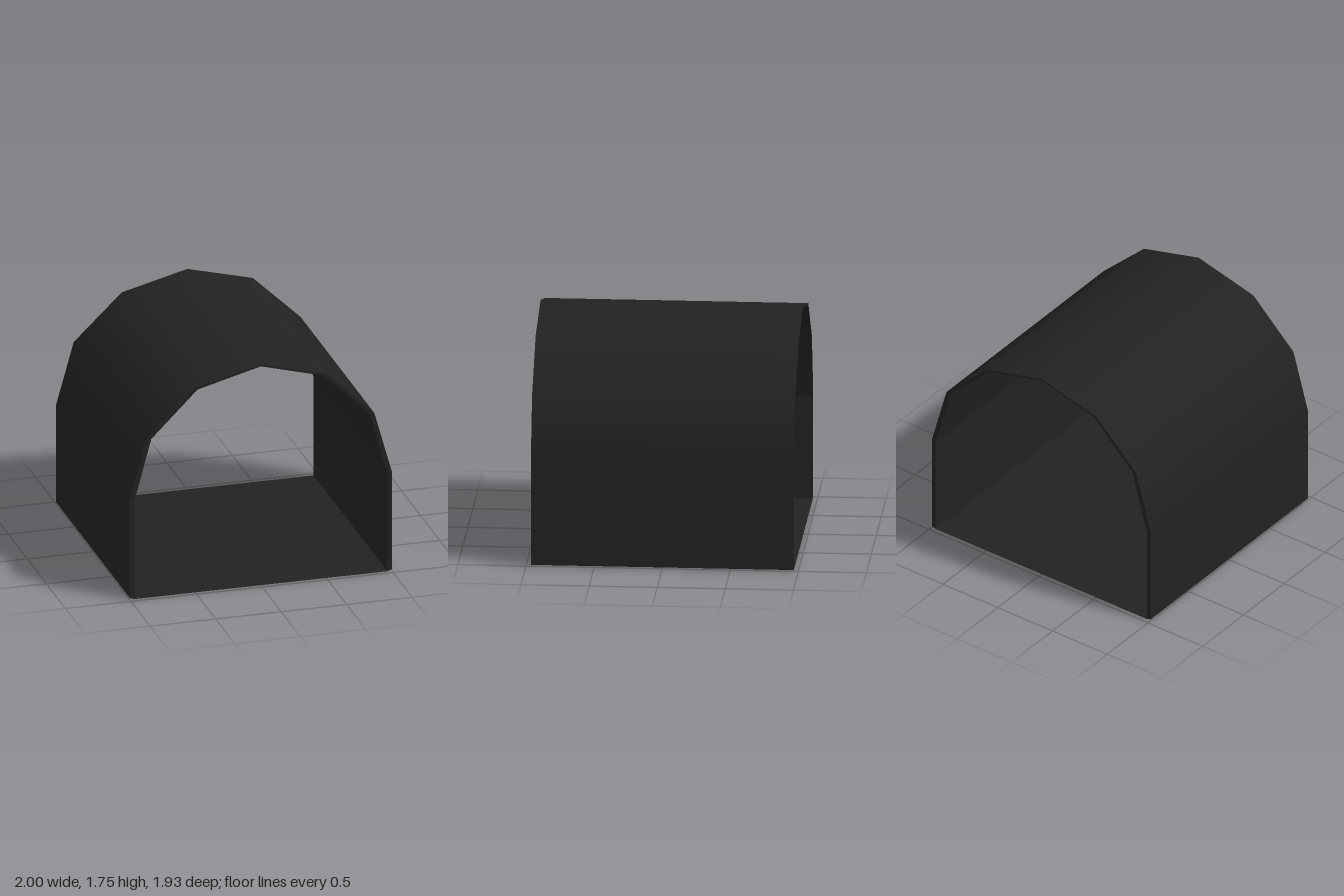
import * as THREE from 'three';

const HALF = 0.965;   // half the depth
const DROP = 0.013;   // how far the inner skin sits below the outer one
const IN = 0.965;     // half width of the inner skin
const RISE = 0.96;    // height of the arch above the shoulders
const SHOULDER = 0.785;

// Arch profile from right foot over the crown to left foot, with outward normals
function archProfile(width, dy) {
  const pts = [{ x: width, y: DROP + dy, nx: 1, ny: 0 }];
  for (let i = 0; i <= 6; i++) {
    const a = (i / 6) * Math.PI;
    const n = new THREE.Vector2(Math.cos(a), Math.sin(a) / RISE).normalize();
    pts.push({ x: width * Math.cos(a), y: SHOULDER + dy + RISE * Math.sin(a), nx: n.x, ny: n.y });
  }
  pts.push({ x: -width, y: DROP + dy, nx: -1, ny: 0 });
  return pts;
}

// Sheet swept along z; faces lie to the right of the direction of travel
function sheet(points, smooth) {
  const pos = [], nor = [], idx = [];
  for (const p of points) {
    for (const z of [HALF, -HALF]) {
      pos.push(p.x, p.y, z);
      nor.push(p.nx ?? 0, p.ny ?? 0, 0);
    }
  }
  for (let i = 0; i < points.length - 1; i++) {
    const a = i * 2;
    idx.push(a, a + 1, a + 2, a + 1, a + 3, a + 2);
  }
  let g = new THREE.BufferGeometry();
  g.setAttribute('position', new THREE.Float32BufferAttribute(pos, 3));
  g.setIndex(idx);
  if (smooth) {
    g.setAttribute('normal', new THREE.Float32BufferAttribute(nor, 3));
  } else {
    g = g.toNonIndexed();
    g.computeVertexNormals();
  }
  return g;
}

export function createModel() {
  const model = new THREE.Group();
  model.name = 'archedShelter';
  const black = new THREE.MeshStandardMaterial({ color: 0x222222 });
  black.name = 'charcoal';

  const add = (name, geometry, material = black) => {
    const mesh = new THREE.Mesh(geometry, material);
    mesh.name = name;
    model.add(mesh);
    return mesh;
  };

  const outer = archProfile(1, 0);
  const inner = archProfile(IN, -DROP);

  // Smooth outside, faceted inside
  add('outerShell', sheet(outer, true));
  add('innerShell', sheet([...inner].reverse(), false));

  // Sloping edges under both walls
  add('leftFoot', sheet([inner[0], outer[0]], false));
  add('rightFoot', sheet([outer.at(-1), inner.at(-1)], false));

  // Flat rims closing the shell at both ends
  const rim = new THREE.Shape(
    [...outer, ...[...inner].reverse()].map((p) => new THREE.Vector2(p.x, p.y))
  );
  add('frontRim', new THREE.ShapeGeometry(rim)).position.z = HALF;
  const back = add('backRim', new THREE.ShapeGeometry(rim));
  back.rotation.y = Math.PI;
  back.position.z = -HALF;

  // Thin floor, seen from above and below
  const top = new THREE.PlaneGeometry(IN * 2, HALF * 2).rotateX(-Math.PI / 2);
  const floorMaterial = black.clone();
  floorMaterial.name = 'charcoalFloor';
  floorMaterial.side = THREE.DoubleSide;
  add('floor', top, floorMaterial);

  return model;
}
